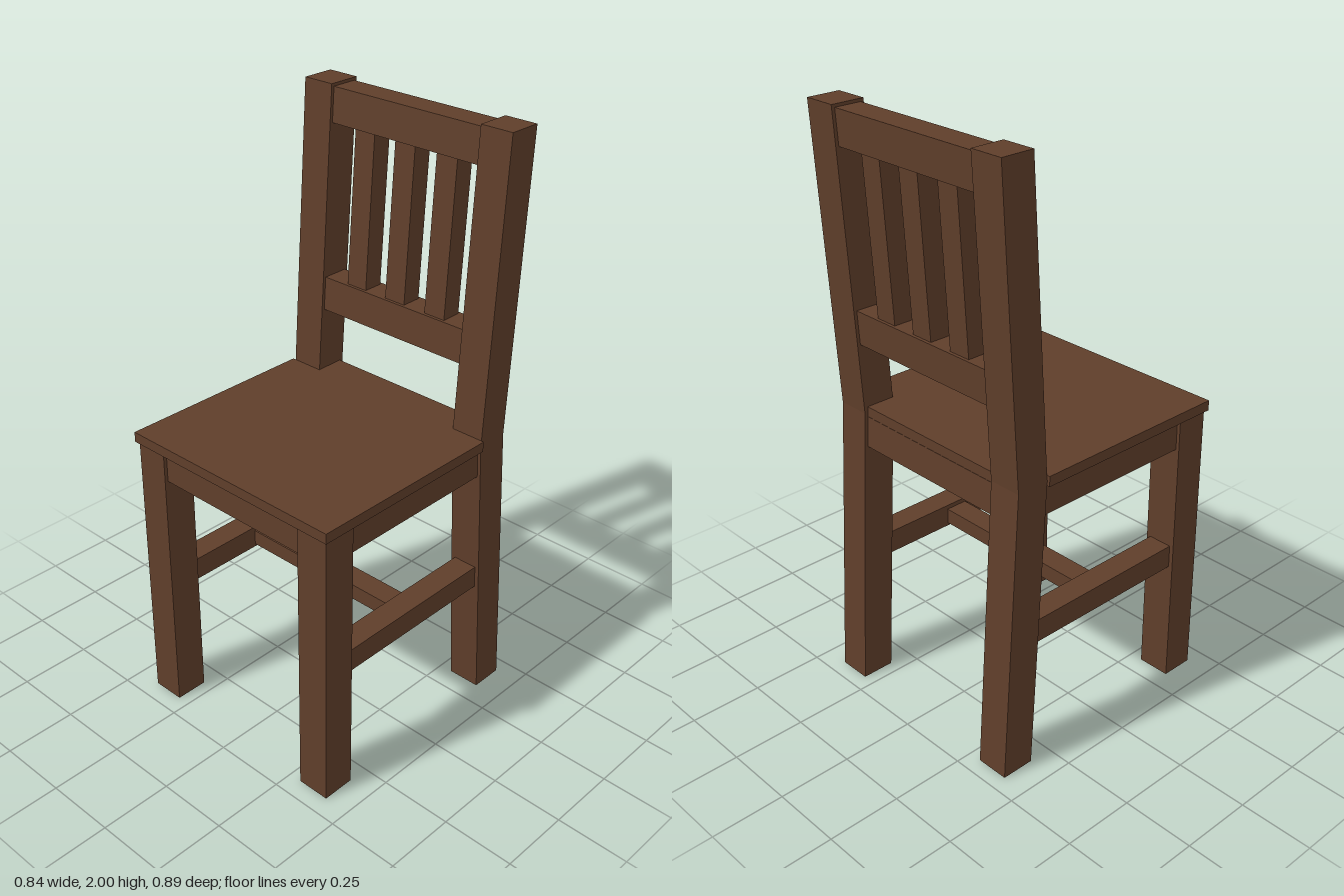
import * as THREE from 'three';

const wood = new THREE.MeshStandardMaterial({ color: 0x5f3e2a });
wood.name = 'brown wood';

export function createModel() {
  const chair = new THREE.Group();
  chair.name = 'chair';

  const add = (name, geometry) => {
    const mesh = new THREE.Mesh(geometry, wood);
    mesh.name = name;
    chair.add(mesh);
  };

  // Box given by its limits on each axis
  const box = (name, x0, x1, y0, y1, z0, z1) => {
    const g = new THREE.BoxGeometry(x1 - x0, y1 - y0, z1 - z0);
    add(name, g.translate((x0 + x1) / 2, (y0 + y1) / 2, (z0 + z1) / 2));
  };

  // Front and back faces of the bent rear posts at height y
  const postDepth = 0.115;
  const front = (y) => -0.27 - 0.06 * Math.abs(y - 1);
  const back = (y) => front(y) - postDepth;

  // Leaning member: follows the bend of the posts through the given heights
  const leaning = (name, x0, x1, heights, inset) => {
    const points = [
      ...heights.map((y) => new THREE.Vector2(front(y) - inset, y)),
      ...[...heights].reverse().map((y) => new THREE.Vector2(back(y) + inset, y)),
    ];
    const g = new THREE.ExtrudeGeometry(new THREE.Shape(points), { depth: x1 - x0, bevelEnabled: false });
    add(name, g.rotateY(-Math.PI / 2).translate(x1, 0, 0));
  };

  const inner = 0.295, outer = 0.41;

  // Legs, side aprons and side stretchers, mirrored left and right
  for (const [side, s] of [['left', 1], ['right', -1]]) {
    const span = (a, b) => (s > 0 ? [a, b] : [-b, -a]);
    leaning(side + 'RearPost', ...span(inner, outer), [0, 1, 2], 0);
    box(side + 'FrontLeg', ...span(inner, outer), 0, 0.985, 0.32, 0.435);
    box(side + 'SideApron', ...span(inner + 0.012, outer - 0.012), 0.88, 0.985, -0.28, 0.32);
    box(side + 'SideStretcher', ...span(inner + 0.015, outer - 0.015), 0.435, 0.515, -0.31, 0.32);
  }

  // Front and rear aprons, cross stretcher
  box('frontApron', -inner, inner, 0.88, 0.985, 0.332, 0.423);
  leaning('rearApron', -inner, inner, [0.88, 0.985], 0.012);
  box('crossStretcher', -0.312, 0.312, 0.445, 0.5, -0.04, 0.04);

  // Seat board, notched around the rear posts
  const half = 0.42, seatFront = 0.445, notch = -0.27, seatBack = -0.373;
  const outline = [
    [-half, -seatFront], [half, -seatFront], [half, -notch], [inner, -notch],
    [inner, -seatBack], [-inner, -seatBack], [-inner, -notch], [-half, -notch],
  ].map(([x, y]) => new THREE.Vector2(x, y));
  const seat = new THREE.ExtrudeGeometry(new THREE.Shape(outline), { depth: 0.035, bevelEnabled: false });
  add('seat', seat.rotateX(-Math.PI / 2).translate(0, 0.985, 0));

  // Backrest rails and slats
  leaning('lowerBackRail', -inner, inner, [1.24, 1.355], 0.011);
  leaning('upperBackRail', -inner, inner, [1.875, 1.99], 0.011);
  for (const x of [-0.165, 0, 0.165]) {
    leaning('backSlat', x - 0.04, x + 0.04, [1.355, 1.875], 0.022);
  }

  return chair;
}
